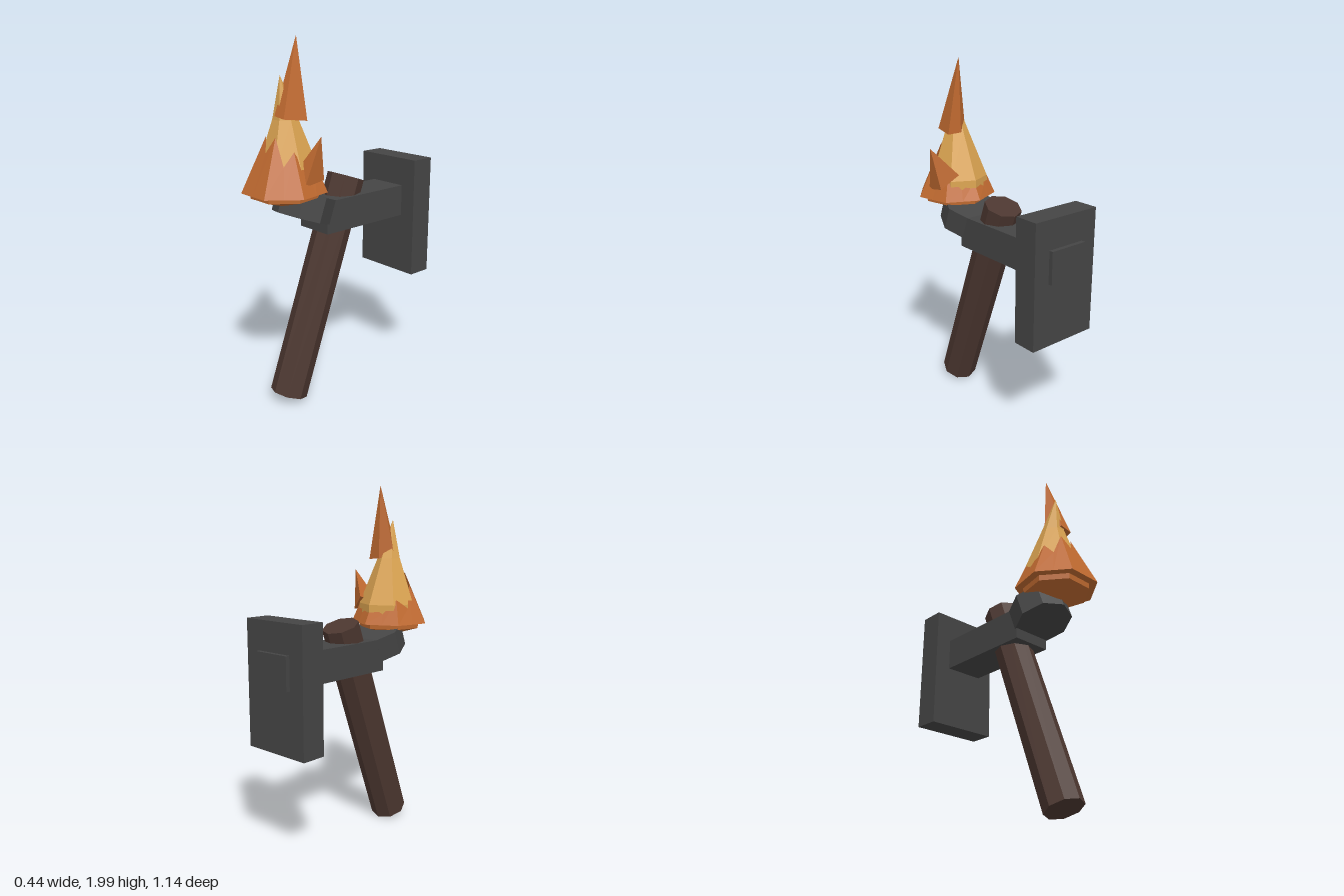
import * as THREE from 'three';

const mat = (name, color, side = THREE.FrontSide) => {
  const m = new THREE.MeshStandardMaterial({ color, side, flatShading: true });
  m.name = name;
  return m;
};

// Skin between rings of equal point count; a ring may be a single repeated point
function loft(rings) {
  const pos = [];
  const same = (a, b) => a.every((v, i) => v === b[i]);
  const tri = (a, b, c) => {
    if (!same(a, b) && !same(b, c) && !same(a, c)) pos.push(...a, ...b, ...c);
  };
  for (let r = 0; r < rings.length - 1; r++) {
    const lo = rings[r], hi = rings[r + 1], n = lo.length;
    for (let i = 0; i < n; i++) {
      const j = (i + 1) % n;
      tri(lo[i], lo[j], hi[j]);
      tri(lo[i], hi[j], hi[i]);
    }
  }
  const g = new THREE.BufferGeometry();
  g.setAttribute('position', new THREE.Float32BufferAttribute(pos, 3));
  g.computeVertexNormals();
  return g;
}

const point = (n, p) => Array.from({ length: n }, () => p);

// Seven-sided ring with one corner pointing back
const ring7 = (r, y, cz) => Array.from({ length: 7 }, (_, k) => {
  const a = Math.PI + (k * 2 * Math.PI) / 7;
  return [r * Math.sin(a), y, cz + r * Math.cos(a)];
});

// Leaning spike with a closed base
function spike(base, tip) {
  const n = base.length;
  const centre = [0, 1, 2].map(i => base.reduce((s, p) => s + p[i], 0) / n);
  return loft([point(n, centre), base, point(n, tip)]);
}

export function createModel() {
  const group = new THREE.Group();
  const iron = mat('iron', 0x454545);
  const wood = mat('dark wood', 0x4c3730);
  const orange = mat('orange flame', 0xc06a30, THREE.DoubleSide);
  const yellow = mat('yellow flame', 0xd9a250, THREE.DoubleSide);

  const add = (name, geo, material, x = 0, y = 0, z = 0, tilt = 0) => {
    const mesh = new THREE.Mesh(geo, material);
    mesh.name = name;
    mesh.position.set(x, y, z);
    mesh.rotation.x = tilt;
    group.add(mesh);
  };
  const lean = -Math.PI / 9;

  // Wall bracket
  add('wallPlate', new THREE.BoxGeometry(0.415, 0.69, 0.14), iron, 0, 0.96, -0.482);
  add('bracketArm', new THREE.BoxGeometry(0.226, 0.18, 0.74), iron, 0, 1.055, -0.205);
  add('bracketHead', new THREE.CylinderGeometry(0.16, 0.16, 0.136, 8), iron, 0, 1.12, 0.235, lean);

  // Leaning handle
  add('handle', new THREE.CylinderGeometry(0.104, 0.104, 1.268, 8), wood, 0, 0.639, 0.146, lean);

  // Outer flame: low at the back, tall points at the front
  const cz = 0.36, base = [], top = [];
  const peaks = [[0.175, 1.32], [0.165, 1.36], [0.12, 1.44], [0.09, 1.51]];
  const valleys = [[0.18, 1.28], [0.165, 1.31], [0.14, 1.37], [0.115, 1.43]];
  for (let i = 0; i < 14; i++) {
    const a = Math.PI + (i * Math.PI) / 7;
    const steps = Math.min(i, 14 - i);
    const corner = i % 2 === 0;
    const [r, y] = corner ? peaks[steps / 2] : valleys[(steps - 1) / 2];
    const rb = corner ? 0.227 : 0.227 * Math.cos(Math.PI / 7);
    base.push([rb * Math.sin(a), 1.22, cz + rb * Math.cos(a)]);
    top.push([r * Math.sin(a), y, cz + r * Math.cos(a)]);
  }
  add('outerFlame', loft([base, top]), orange);

  // Shallow underside of the flame
  add('flameUnderside', loft([
    point(7, [0, 1.14, 0.38]), ring7(0.18, 1.19, cz), ring7(0.182, 1.22, cz), ring7(0.227, 1.22, cz),
  ]), orange);

  // Inner flame
  add('innerFlame', loft([
    ring7(0.17, 1.24, 0.335), ring7(0.165, 1.33, 0.335),
    ring7(0.068, 1.59, 0.346), point(7, [0, 1.81, 0.376]),
  ]), yellow);

  // Loose flame tips
  add('topFlameTip', spike([
    [0, 1.61, 0.415], [0.075, 1.6, 0.415], [0.1, 1.585, 0.285], [0.02, 1.59, 0.275], [-0.05, 1.605, 0.33],
  ], [0.02, 2, 0.285]), orange);
  add('sideFlameTip', spike([
    [0.1, 1.34, 0.36], [0.18, 1.27, 0.37], [0.185, 1.29, 0.25], [0.095, 1.37, 0.2],
  ], [0.218, 1.52, 0.295]), orange);

  return group;
}
